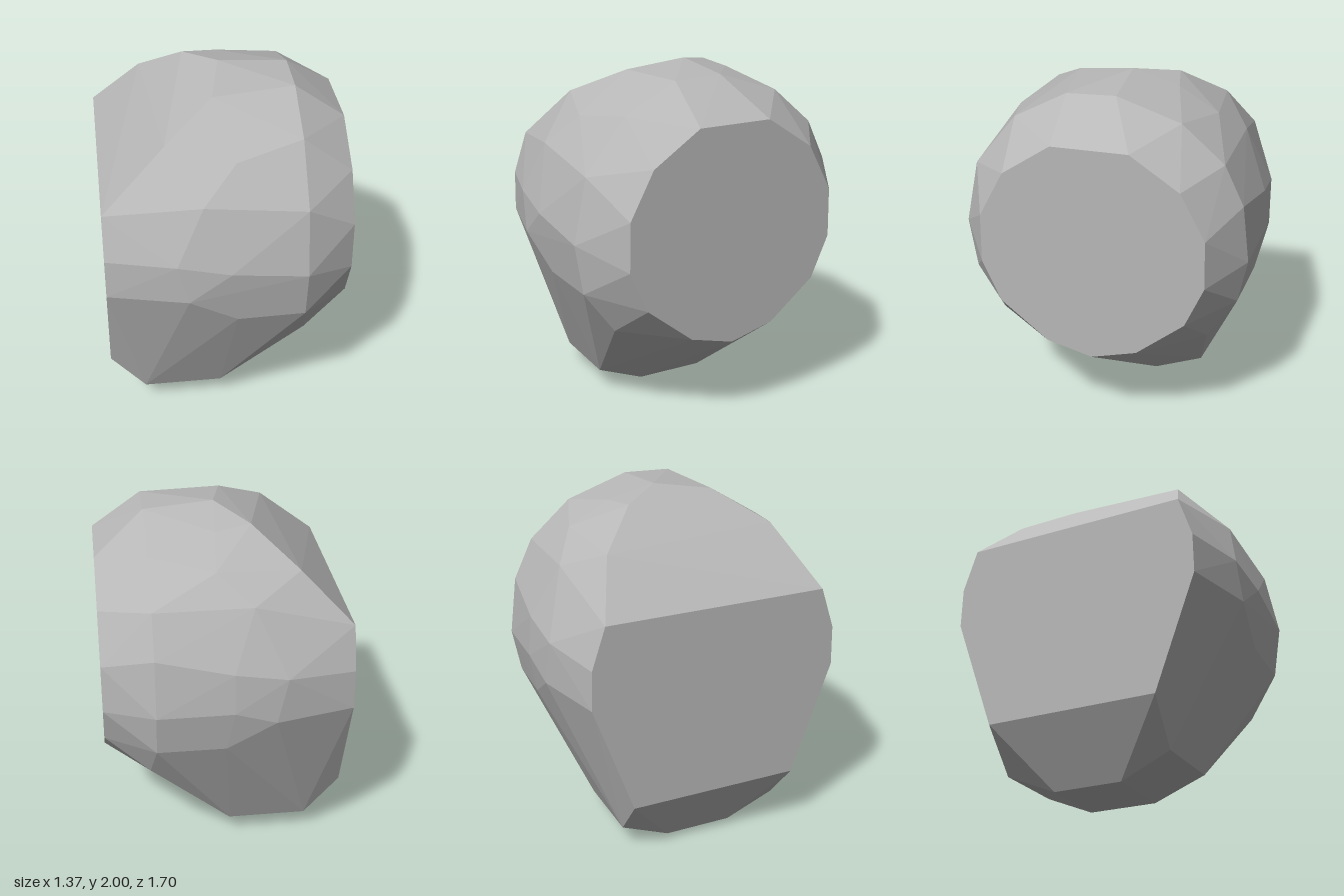
import * as THREE from 'three';
import { ConvexGeometry } from 'three/addons/geometries/ConvexGeometry.js';

// One faceted convex body, described by cross-sections along x
export function createModel() {
  const stone = new THREE.MeshStandardMaterial({ color: 0xb8b8b8 });
  stone.name = 'stone grey';

  const points = [];
  const add = (x, y, z) => points.push(new THREE.Vector3(x, y, z));
  const addPair = (x, y, z) => { add(x, y, z); add(x, y, -z); };

  // Flat round end: half profile [y, z], mirrored front to back
  for (const [y, z] of [[1.76, 0.215], [1.575, 0.49], [1.31, 0.63], [1.03, 0.635], [0.79, 0.53], [0.57, 0.26]])
    addPair(0.68, y, z);
  add(0.68, 0.5, 0);

  // Wide ring beside the round end: [y, z]
  for (const [y, z] of [
    [1.96, 0.21], [1.8, 0.51], [1.5, 0.75], [1.13, 0.825], [0.84, 0.78],
    [1.97, -0.07], [1.85, -0.43], [1.64, -0.67], [1.41, -0.78], [1.08, -0.82], [0.83, -0.77],
  ]) add(0.4, y, z);
  addPair(0.43, 0.6, 0.61);

  // Irregular middle ring: [x, y, z]
  for (const [x, y, z] of [
    [0.01, 2, -0.06], [-0.06, 1.95, 0.27], [0.03, 1.74, 0.61], [-0.16, 1.56, 0.745],
    [-0.02, 1.195, 0.85], [0.02, 0.85, 0.8], [-0.25, 1.02, 0.84], [-0.31, 1.25, 0.83],
    [0.03, 1.93, -0.33], [0.05, 1.8, -0.56], [-0.14, 1.65, -0.69], [-0.02, 1.33, -0.83],
    [-0.02, 1.1, -0.85], [0.02, 0.85, -0.8], [-0.25, 1.02, -0.835], [-0.31, 1.28, -0.825],
  ]) add(x, y, z);

  // Rim of the sloping cut at the top
  add(-0.34, 1.8, 0.5);
  add(-0.17, 1.95, -0.29);
  add(-0.41, 1.77, -0.52);

  // Flat upright end
  for (const [y, z] of [[1.49, 0.65], [1.25, 0.73], [1.02, 0.735], [0.37, 0.5]]) addPair(-0.69, y, z);

  // Narrow base
  for (const x of [-0.49, -0.04]) addPair(x, 0.13, 0.49);
  for (const x of [-0.48, -0.06]) addPair(x, 0.005, 0.2);
  add(-0.27, 0, 0);

  const body = new THREE.Mesh(new ConvexGeometry(points), stone);
  body.name = 'facetedStone';
  const model = new THREE.Group();
  model.name = 'stone';
  model.add(body);
  return model;
}
